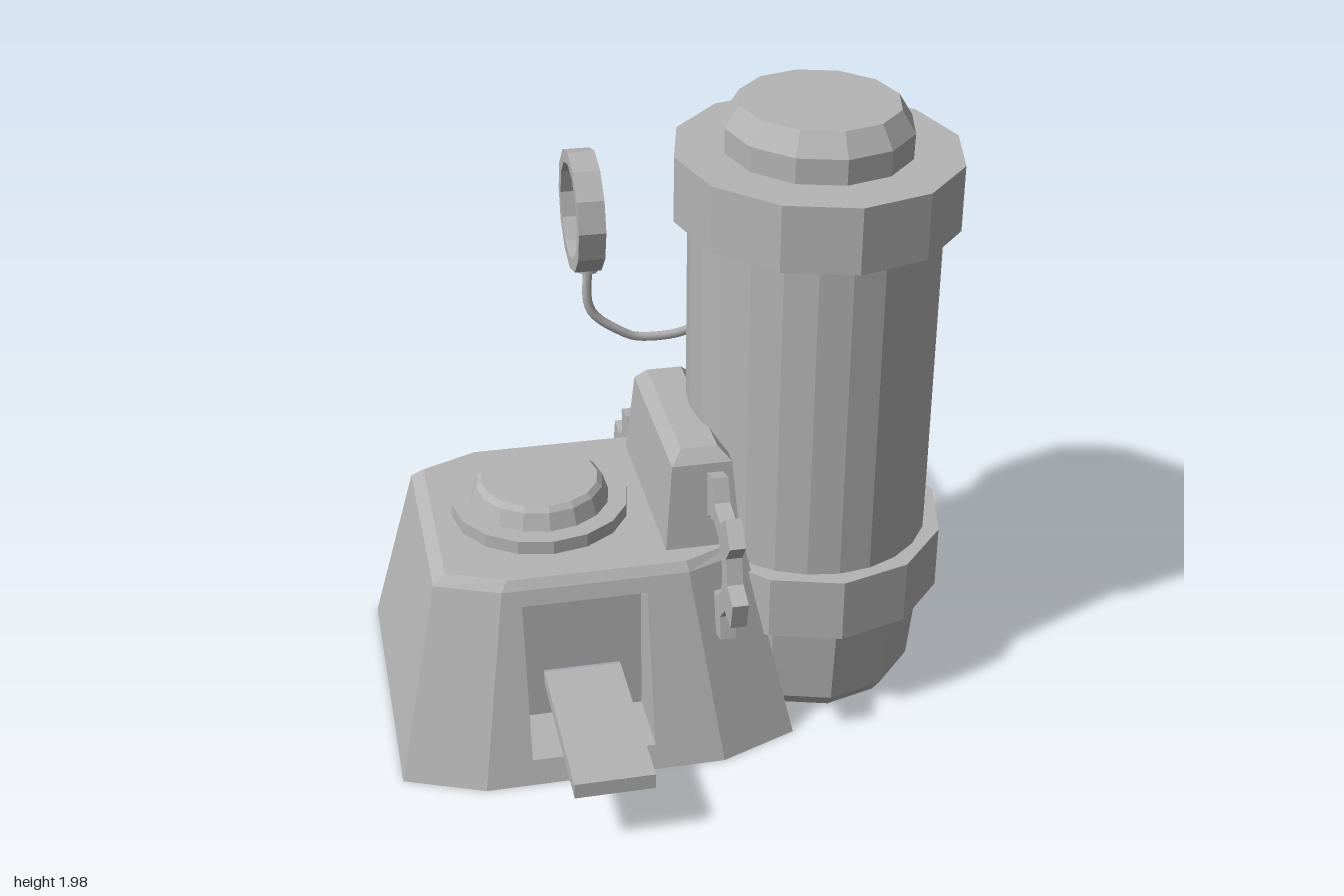
import * as THREE from 'three';

const grey = new THREE.MeshStandardMaterial({ color: 0xb4b4b4, side: THREE.DoubleSide });
grey.name = 'plain grey';

const V = (x, y, z) => new THREE.Vector3(x, y, z);

// Gives every face its own normal
function flat(geo) {
  const g = geo.index ? geo.toNonIndexed() : geo;
  g.computeVertexNormals();
  return g;
}

// Walls between successive rings of points, with an optional fan on the last ring
function loft(rings, cap, skip = () => false) {
  const pos = [];
  const tri = (...pts) => pts.forEach((p) => pos.push(p.x, p.y, p.z));
  for (let r = 0; r < rings.length - 1; r++) {
    const a = rings[r], b = rings[r + 1], n = a.length;
    for (let i = 0; i < n; i++) {
      if (skip(r, i)) continue;
      const j = (i + 1) % n;
      tri(a[i], b[j], a[j]);
      tri(a[i], b[i], b[j]);
    }
  }
  const top = rings[rings.length - 1];
  if (cap) for (let i = 1; i < top.length - 1; i++) tri(top[0], top[i + 1], top[i]);
  const g = new THREE.BufferGeometry();
  g.setAttribute('position', new THREE.Float32BufferAttribute(pos, 3));
  g.computeVertexNormals();
  return g;
}

const lathe = (pts, sides) =>
  flat(new THREE.LatheGeometry(pts.map(([r, y]) => new THREE.Vector2(r, y)), sides));

const rect = (x0, x1, y0, y1, Type = THREE.Shape) =>
  new Type([[x0, y0], [x1, y0], [x1, y1], [x0, y1]].map(([x, y]) => new THREE.Vector2(x, y)));

// Octagon ring: rectangle with cut corners, front edge first
function octagon(y, x0, x1, z0, z1, cx, cz) {
  return [[x0 + cx, z1], [x1 - cx, z1], [x1, z1 - cz], [x1, z0 + cz],
    [x1 - cx, z0], [x0 + cx, z0], [x0, z0 + cz], [x0, z1 - cz]].map(([x, z]) => V(x, y, z));
}

const quad = (y, x0, x1, z0, z1) => [V(x0, y, z1), V(x1, y, z1), V(x1, y, z0), V(x0, y, z0)];

// Six-toothed ring with tapered teeth, lying in the z-y plane
function gearGeometry(tilt) {
  const shape = new THREE.Shape();
  const outline = [];
  for (let i = 0; i < 6; i++) {
    const a = tilt + (i * Math.PI) / 3;
    for (const [da, r] of [[-0.3, 0.19], [-0.18, 0.264], [0.18, 0.264], [0.3, 0.19]]) {
      outline.push(new THREE.Vector2(r * Math.cos(a + da), r * Math.sin(a + da)));
    }
  }
  shape.setFromPoints(outline);
  const hole = new THREE.Path();
  hole.absarc(0, 0, 0.125, 0, Math.PI * 2, true);
  shape.holes.push(hole);
  const g = new THREE.ExtrudeGeometry(shape, { depth: 0.05, bevelEnabled: false, curveSegments: 6 });
  return g.translate(0, 0, -0.025).rotateY(-Math.PI / 2);
}

export function createModel() {
  const model = new THREE.Group();
  const add = (name, geo, x = 0, y = 0, z = 0) => {
    const m = new THREE.Mesh(geo, grey);
    m.name = name;
    m.position.set(x, y, z);
    model.add(m);
    return m;
  };

  // Hollow sloping housing, front wall left out
  add('housing', loft([
    octagon(0, -0.93, 0.33, -0.5, 0.67, 0.25, 0.1),
    octagon(0.62, -0.79, 0.195, -0.33, 0.51, 0.2, 0.08),
    octagon(0.65, -0.75, 0.17, -0.31, 0.49, 0.18, 0.08),
  ], true, (r, i) => r === 0 && i === 0));

  // Front wall with the hatch opening
  const wallZ = (y) => 0.67 - (0.16 * y) / 0.62;
  const [hx0, hx1, hy0, hy1, hz] = [-0.53, -0.14, 0.08, 0.57, 0.42];
  const wall = new THREE.Shape([[-0.68, 0], [0.08, 0], [-0.005, 0.62], [-0.59, 0.62]]
    .map(([x, y]) => new THREE.Vector2(x, y)));
  wall.holes.push(rect(hx0, hx1, hy0, hy1, THREE.Path));
  const wallGeo = new THREE.ShapeGeometry(wall);
  const p = wallGeo.attributes.position;
  for (let i = 0; i < p.count; i++) p.setZ(i, wallZ(p.getY(i)));
  add('frontWall', flat(wallGeo));

  // Recess with a slotted back, and the tray sticking out of it
  const hatchRing = (zAt) => [[hx0, hy0], [hx1, hy0], [hx1, hy1], [hx0, hy1]].map(([x, y]) => V(x, y, zAt(y)));
  add('hatchSides', loft([hatchRing(wallZ), hatchRing(() => hz)], false));
  const back = rect(hx0, hx1, hy0, hy1);
  back.holes.push(rect(-0.455, -0.21, 0.2, 0.25, THREE.Path));
  add('hatchBack', new THREE.ShapeGeometry(back), 0, 0, hz);
  add('tray', new THREE.BoxGeometry(0.245, 0.05, 0.57), -0.3325, 0.225, 0.715);

  // Round button and its base ring
  add('buttonRing', lathe([[0.285, 0.64], [0.285, 0.695], [0, 0.695]], 16), -0.405, 0, 0.085);
  add('button', lathe([[0.225, 0.69], [0.205, 0.75], [0.188, 0.766], [0, 0.766]], 16), -0.405, 0, 0.085);

  // Wedge block beside the tank
  add('wedgeBlock', loft([
    quad(0.64, -0.06, 0.18, -0.25, 0.42),
    quad(0.93, -0.035, 0.155, -0.215, 0.39),
    quad(0.972, 0, 0.115, -0.18, 0.355),
  ], true));

  // Tank: slightly oval barrel, two collars and a bevelled lid
  const tankParts = [
    ['tankFoot', 12, [[0, 0.002], [0.365, 0.002], [0.4, 0.05], [0.43, 0.35]]],
    ['tankBarrel', 24, [[0.43, 0.34], [0.43, 1.63]]],
    ['lowerCollar', 12, [[0.42, 0.345], [0.488, 0.345], [0.488, 0.555], [0.42, 0.555]]],
    ['upperCollar', 12, [[0.42, 1.615], [0.488, 1.615], [0.488, 1.825], [0, 1.825]]],
    ['tankLid', 12, [[0.318, 1.825], [0.32, 1.905], [0.272, 1.975], [0, 1.975]]],
  ];
  for (const [name, sides, pts] of tankParts) {
    add(name, lathe(pts, sides), 0.479, 0, 0.087).scale.x = 0.917;
  }

  // Gears at the front and back of the housing
  add('frontGear', gearGeometry(THREE.MathUtils.degToRad(46)), 0.1, 0.657, 0.489);
  add('backGear', gearGeometry(THREE.MathUtils.degToRad(162)), -0.01, 0.437, -0.353);

  // Dished disc standing on the cable
  add('disc', lathe([[0, -0.045], [0.206, -0.045], [0.206, 0.045], [0.165, 0.045], [0.165, -0.01], [0, -0.01]], 12)
    .rotateZ(Math.PI / 2), -0.155, 1.425, -0.495);
  add('discSocket', new THREE.CylinderGeometry(0.036, 0.036, 0.025, 10), -0.14, 1.215, -0.495);

  // Cable looping from the disc to the back of the tank
  const path = new THREE.CatmullRomCurve3([
    V(-0.14, 1.22, -0.495), V(-0.14, 1.08, -0.495), V(-0.115, 1.03, -0.495), V(-0.03, 0.965, -0.495),
    V(0.03, 0.935, -0.5), V(0.2, 0.935, -0.51), V(0.29, 0.97, -0.555), V(0.32, 1.02, -0.67),
    V(0.325, 1.0, -0.84), V(0.36, 0.96, -0.95), V(0.42, 0.94, -0.983), V(0.52, 0.935, -0.983),
    V(0.575, 0.91, -0.94), V(0.585, 0.86, -0.8), V(0.58, 0.885, -0.64), V(0.535, 0.94, -0.5), V(0.53, 0.95, -0.33),
  ]);
  add('cable', new THREE.TubeGeometry(path, 90, 0.016, 8));
  add('cableGrommet', new THREE.CylinderGeometry(0.042, 0.042, 0.03, 10).rotateX(Math.PI / 2), 0.53, 0.95, -0.342);

  return model;
}
